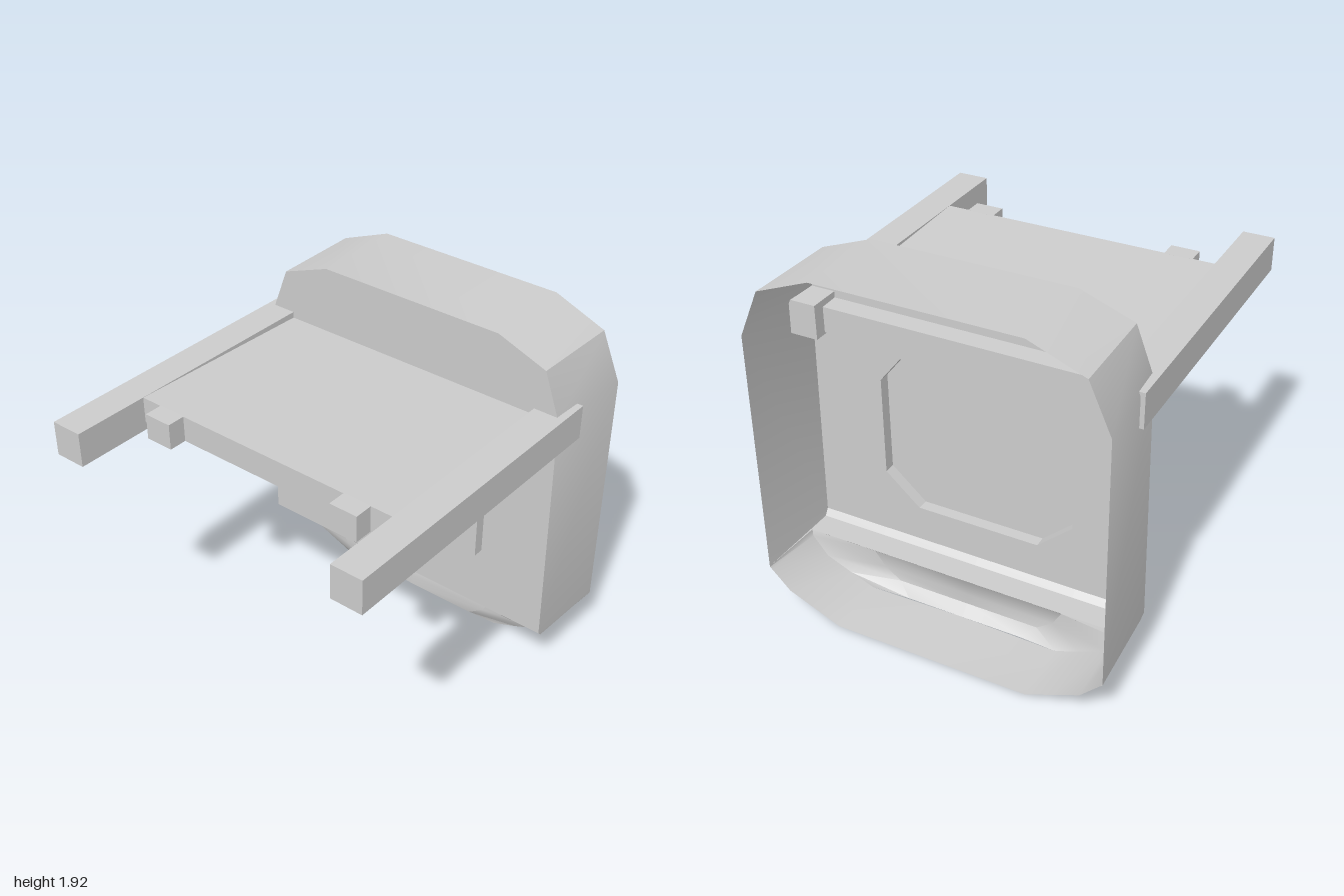
import * as THREE from 'three';
import { toCreasedNormals } from 'three/addons/utils/BufferGeometryUtils.js';

const solid = new THREE.MeshStandardMaterial({ color: 0xcccccc });
const thin = new THREE.MeshStandardMaterial({ color: 0xcccccc, side: THREE.DoubleSide });

// Skin a surface over rows of points of equal length
function loft(rows, crease = 0.5) {
  const n = rows[0].length, index = [];
  for (let i = 0; i < rows.length - 1; i++) {
    for (let j = 0; j < n - 1; j++) {
      const a = i * n + j, b = a + n;
      index.push(a, b, a + 1, a + 1, b, b + 1);
    }
  }
  const g = new THREE.BufferGeometry();
  g.setAttribute('position', new THREE.Float32BufferAttribute(rows.flat(2), 3));
  g.setIndex(index);
  return toCreasedNormals(g, crease);
}

// Right half, top to bottom, completed by its mirror image
const mirrored = half => [...half, ...half.slice().reverse().map(([x, ...rest]) => [-x, ...rest])];
const toVectors = points => points.map(([x, y]) => new THREE.Vector2(x, y));

export function createModel() {
  const model = new THREE.Group();
  const add = (name, geometry, material = solid, parent = model) => {
    const mesh = new THREE.Mesh(geometry, material);
    mesh.name = name;
    parent.add(mesh);
    return mesh;
  };

  // Hollow shell, open at the back
  const shell = new THREE.Group();
  shell.name = 'shell';
  model.add(shell);

  const faceHalf = [[0.52, 1.91], [0.79, 1.81], [0.88, 1.57], [0.9, 0.27]];
  const panelOutline = mirrored([[0.12, 1.365], [0.4, 1.31], [0.515, 1.165], [0.515, 0.63], [0.33, 0.465]]);

  // Flat face with an opening for the raised panel
  const face = new THREE.Shape(toVectors(mirrored(faceHalf)));
  face.holes.push(new THREE.Path(toVectors(panelOutline)));
  add('shellFace', new THREE.ShapeGeometry(face).translate(0, 0, -0.5), thin, shell);

  // Stepped lower lip: y, half width, z at the edge, z at the middle
  const lip = [
    [0.27, 0.9, -0.5, -0.5],
    [0.24, 0.895, -0.53, -0.53],
    [0.24, 0.89, -0.66, -0.66],
    [0.21, 0.88, -0.67, -0.63],
    [0.12, 0.79, -0.68, -0.62],
    [0.06, 0.65, -0.68, -0.62],
    [0.01, 0.52, -0.68, -0.67],
  ];
  const lipRows = lip.map(([y, w, edge, middle]) =>
    [-1, -0.6, 0, 0.6, 1].map(t => [t * w, y, Math.abs(t) === 1 ? edge : middle]));
  add('shellLip', loft(lipRows, 0.7), thin, shell);

  // Side wall from the front edge to the wider back rim
  const frontEdge = [
    ...faceHalf.map(([x, y]) => [x, y, -0.5]),
    ...lip.slice(1).map(([y, w, edge]) => [w, y, edge]),
    [0, 0.01, -0.67],
  ];
  const backRim = [
    [0.52, 1.92], [0.8, 1.81], [0.91, 1.56], [0.912, 0.24], [0.912, 0.235], [0.912, 0.23],
    [0.9, 0.22], [0.8, 0.12], [0.66, 0.06], [0.52, 0], [0, 0],
  ].map(([x, y]) => [x, y, -1]);
  const close = half => { const loop = mirrored(half); return [...loop, loop[0]]; };
  add('shellWall', loft([close(frontEdge), close(backRim)], 0.6), thin, shell);

  // Raised panel, hollow behind
  add('panelFace', new THREE.ShapeGeometry(new THREE.Shape(toVectors(panelOutline))).translate(0, 0, -0.44), thin);
  const ring = z => [...panelOutline, panelOutline[0]].map(([x, y]) => [x, y, z]);
  add('panelRim', loft([ring(-0.44), ring(-0.5)]), thin);

  // Tray between the arms, sloping down slightly to the back
  const tray = new THREE.BoxGeometry(1.5, 0.135, 1.19);
  const pos = tray.attributes.position;
  for (let i = 0; i < pos.count; i++) {
    if (pos.getZ(i) < 0) pos.setY(i, pos.getY(i) - 0.035);
  }
  tray.translate(0, 1.522, -0.005);
  tray.computeVertexNormals();
  add('tray', tray);

  // Arms and front tabs on both sides
  for (const [side, s] of [['left', 1], ['right', -1]]) {
    add(side + 'Arm', new THREE.BoxGeometry(0.167, 0.18, 1.665)).position.set(s * 0.8285, 1.5, 0.1675);
    add(side + 'Tab', new THREE.BoxGeometry(0.15, 0.135, 0.1)).position.set(s * 0.555, 1.522, 0.635);
  }
  return model;
}
